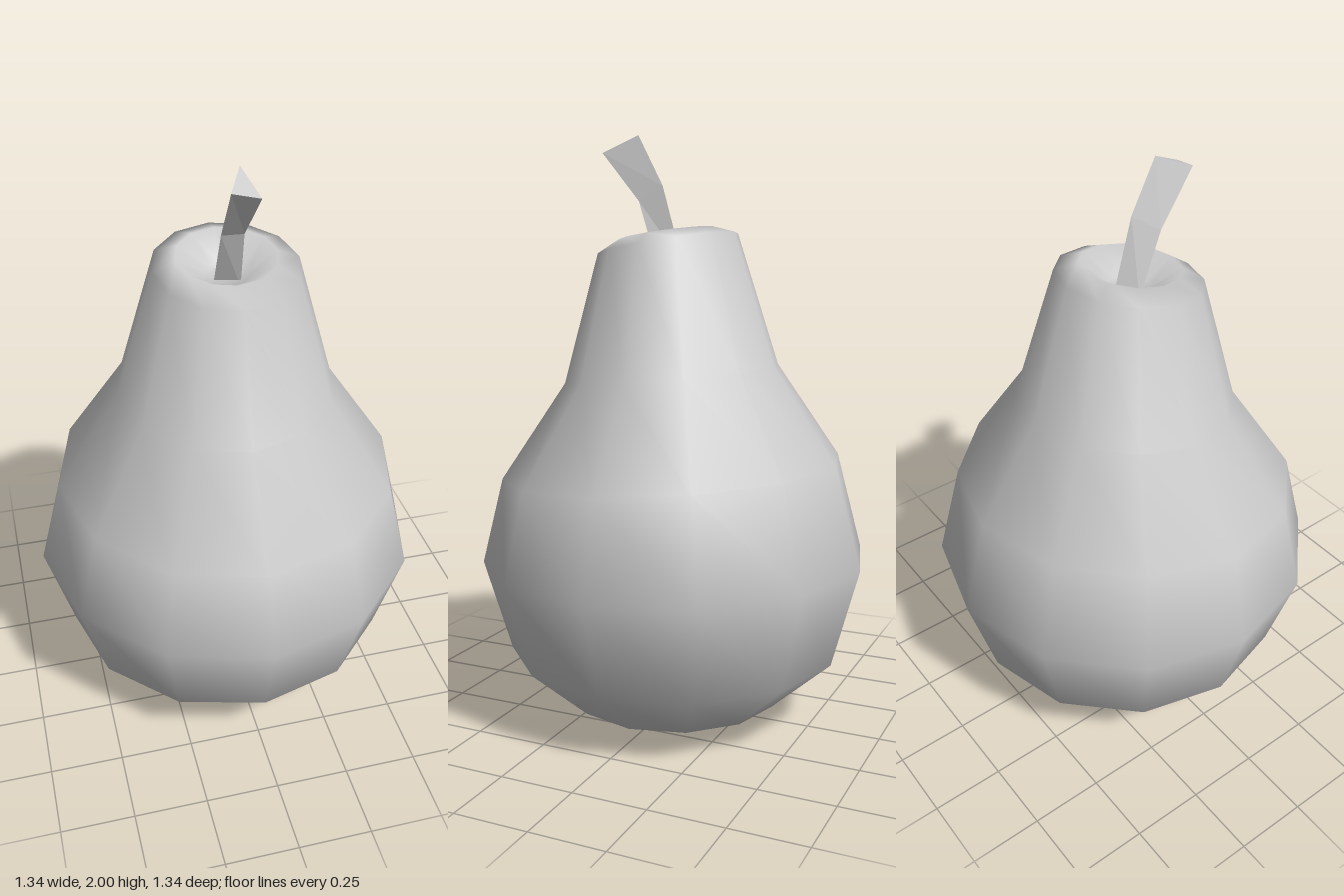
import * as THREE from 'three';

// Skin a stack of rings (arrays of [x, y, z], bottom to top) and close both ends
function loft(rings) {
  const n = rings[0].length;
  const pos = rings.flat();
  const index = [];
  for (let i = 0; i < rings.length - 1; i++) {
    for (let j = 0; j < n; j++) {
      const a = i * n + j, b = i * n + (j + 1) % n;
      index.push(a, b, a + n, b, b + n, a + n);
    }
  }
  const centre = ring => [0, 1, 2].map(k => ring.reduce((s, p) => s + p[k], 0) / n);
  const bottom = pos.push(centre(rings[0])) - 1;
  const top = pos.push(centre(rings[rings.length - 1])) - 1;
  const last = (rings.length - 1) * n;
  for (let j = 0; j < n; j++) {
    const k = (j + 1) % n;
    index.push(bottom, k, j, top, last + j, last + k);
  }
  const g = new THREE.BufferGeometry();
  g.setAttribute('position', new THREE.Float32BufferAttribute(pos.flat(), 3));
  g.setIndex(index);
  g.computeVertexNormals();
  return g;
}

// Twelve-sided ring whose plane leans forward by a slope along z
function tiltedRing([y, r, z0, slope]) {
  return Array.from({ length: 12 }, (_, j) => {
    const a = j * Math.PI / 6;
    const z = r * Math.cos(a);
    return [r * Math.sin(a), y - slope * z, z0 + z];
  });
}

export function createModel() {
  const group = new THREE.Group();
  group.name = 'pear';

  // Fruit body: height, radius, z centre, slope
  const profile = [
    [0.0, 0.2, 0, 0],
    [0.048, 0.37, 0, 0],
    [0.23, 0.577, 0, 0],
    [0.555, 0.67, 0, 0.02],
    [0.87, 0.59, 0.01, 0.068],
    [1.195, 0.37, 0.01, 0.095],
    [1.638, 0.24, 0.025, 0.16],
    [1.672, 0.165, 0.03, 0.14],
    [1.6, 0.07, 0.02, 0.08],
  ];
  const body = new THREE.Mesh(
    loft(profile.map(tiltedRing)),
    new THREE.MeshStandardMaterial({ color: 0xcccccc })
  );
  body.name = 'fruitBody';
  group.add(body);

  // Bent three-sided stem, widening toward its cut end
  const stem = new THREE.Mesh(
    loft([
      [[-0.045, 1.57, 0.03], [0.04, 1.57, 0.05], [0.01, 1.57, -0.033]],
      [[-0.04, 1.78, 0.115], [0.032, 1.78, 0.12], [0.012, 1.83, 0.04]],
      [[-0.04, 1.96, 0.235], [0.047, 1.943, 0.25], [0.013, 2.0, 0.13]],
    ]).toNonIndexed(),
    new THREE.MeshStandardMaterial({ color: 0xcccccc, flatShading: true })
  );
  stem.geometry.computeVertexNormals();
  stem.name = 'stem';
  group.add(stem);

  return group;
}
